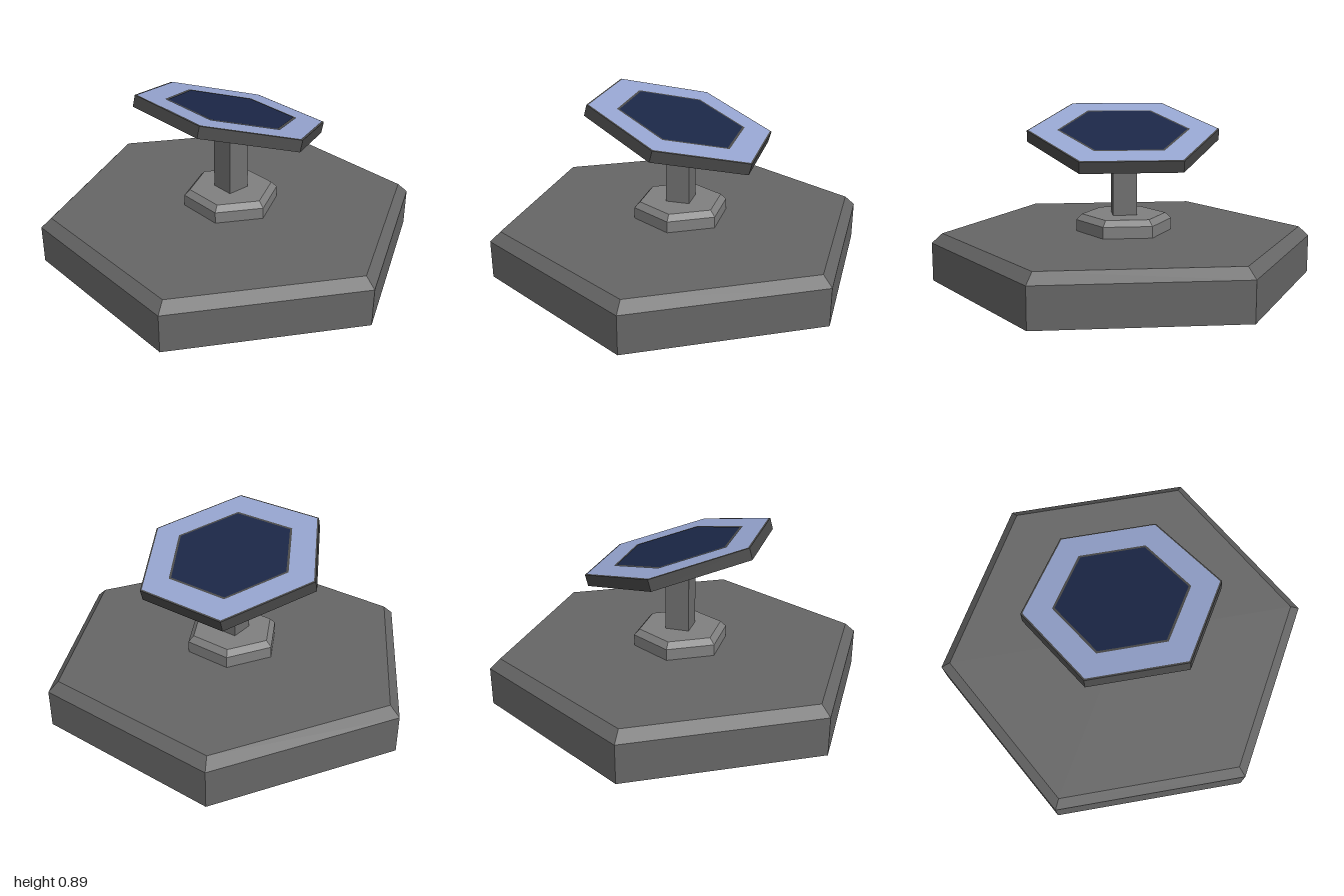
import * as THREE from 'three';

const UP = -Math.PI / 2;

function part(name, geometry, color) {
  const material = new THREE.MeshStandardMaterial({ color, flatShading: true });
  const mesh = new THREE.Mesh(geometry, material);
  mesh.name = name;
  return mesh;
}

// Six-sided block with a bevelled top edge, corners on the z axis
function bevelledHex(radius, topRadius, y0, y1, y2) {
  const profile = [[0, y0], [radius, y0], [radius, y1], [topRadius, y2], [0, y2]];
  return new THREE.LatheGeometry(profile.map(([r, y]) => new THREE.Vector2(r, y)), 6);
}

export function createModel() {
  const model = new THREE.Group();
  model.name = 'hexagonalPanelStand';

  // Wide base slab and the small collar that holds the post
  model.add(part('base', bevelledHex(1, 0.945, 0, 0.2, 0.25), 0x666666));
  model.add(part('collar', bevelledHex(0.25, 0.22, 0.25, 0.31, 0.34), 0x808080));

  // Square post, ending inside the tilted panel
  const post = part('post', new THREE.BoxGeometry(0.125, 0.41, 0.125), 0x707070);
  post.position.y = 0.545;
  model.add(post);

  // Tilted panel: slab, pale border and dark centre
  const panel = new THREE.Group();
  panel.name = 'panel';
  panel.position.y = 0.751;
  panel.rotation.z = -Math.PI / 12;

  panel.add(part('panelSlab', new THREE.CylinderGeometry(0.5, 0.5, 0.06, 6), 0x4a4a4a));

  const border = new THREE.RingGeometry(0.345, 0.49, 6, 1, Math.PI / 2).rotateX(UP);
  const centre = new THREE.CircleGeometry(0.332, 6, Math.PI / 2).rotateX(UP);
  for (const face of [part('panelBorder', border, 0x96a5d0), part('panelCentre', centre, 0x1b2747)]) {
    face.position.y = 0.032;
    panel.add(face);
  }
  model.add(panel);

  return model;
}
